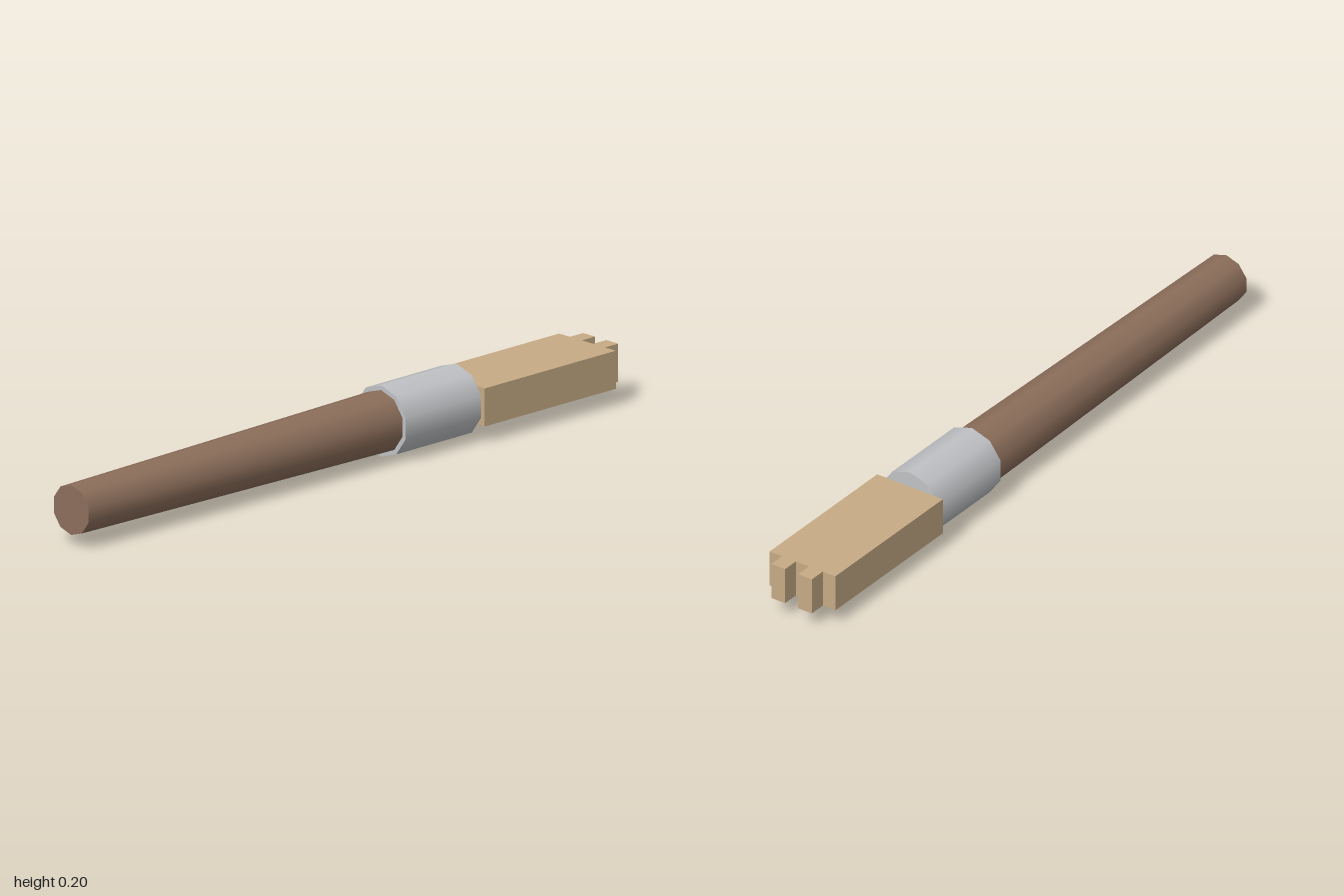
import * as THREE from 'three';

const AXIS_Y = 0.102;

function material(name, color) {
  const m = new THREE.MeshStandardMaterial({ color });
  m.name = name;
  return m;
}

// Ten-sided rod along z, from zBack to zFront
function rod(name, rFront, rBack, zFront, zBack, mat) {
  const geo = new THREE.CylinderGeometry(rFront, rBack, zFront - zBack, 10);
  geo.rotateX(Math.PI / 2);
  const mesh = new THREE.Mesh(geo, mat);
  mesh.name = name;
  mesh.position.set(0, AXIS_Y, (zFront + zBack) / 2);
  return mesh;
}

export function createModel() {
  const wood = material('brown wood', 0x8d6f5b);
  const metal = material('silver metal', 0xc0c2c5);
  const hair = material('tan bristle', 0xc6ab85);
  const brush = new THREE.Group();
  brush.name = 'brush';

  // Tapered handle and metal collar
  brush.add(rod('handle', 0.071, 0.088, 1, -0.2, wood));
  brush.add(rod('ferrule', 0.101, 0.101, -0.17, -0.455, metal));

  // Flat bristle block with two teeth at its tip, outlined as (x, -z)
  const outline = [
    [-0.11, 0.455], [0.11, 0.455], [0.11, 0.95],
    [0.068, 0.95], [0.068, 1], [0.022, 1], [0.022, 0.95],
    [-0.022, 0.95], [-0.022, 1], [-0.068, 1], [-0.068, 0.95], [-0.11, 0.95],
  ];
  const shape = new THREE.Shape(outline.map(([x, d]) => new THREE.Vector2(x, d)));
  const geo = new THREE.ExtrudeGeometry(shape, { depth: 0.108, bevelEnabled: false });
  geo.rotateX(-Math.PI / 2);
  const bristles = new THREE.Mesh(geo, hair);
  bristles.name = 'bristles';
  bristles.position.y = 0.049;
  brush.add(bristles);

  return brush;
}
